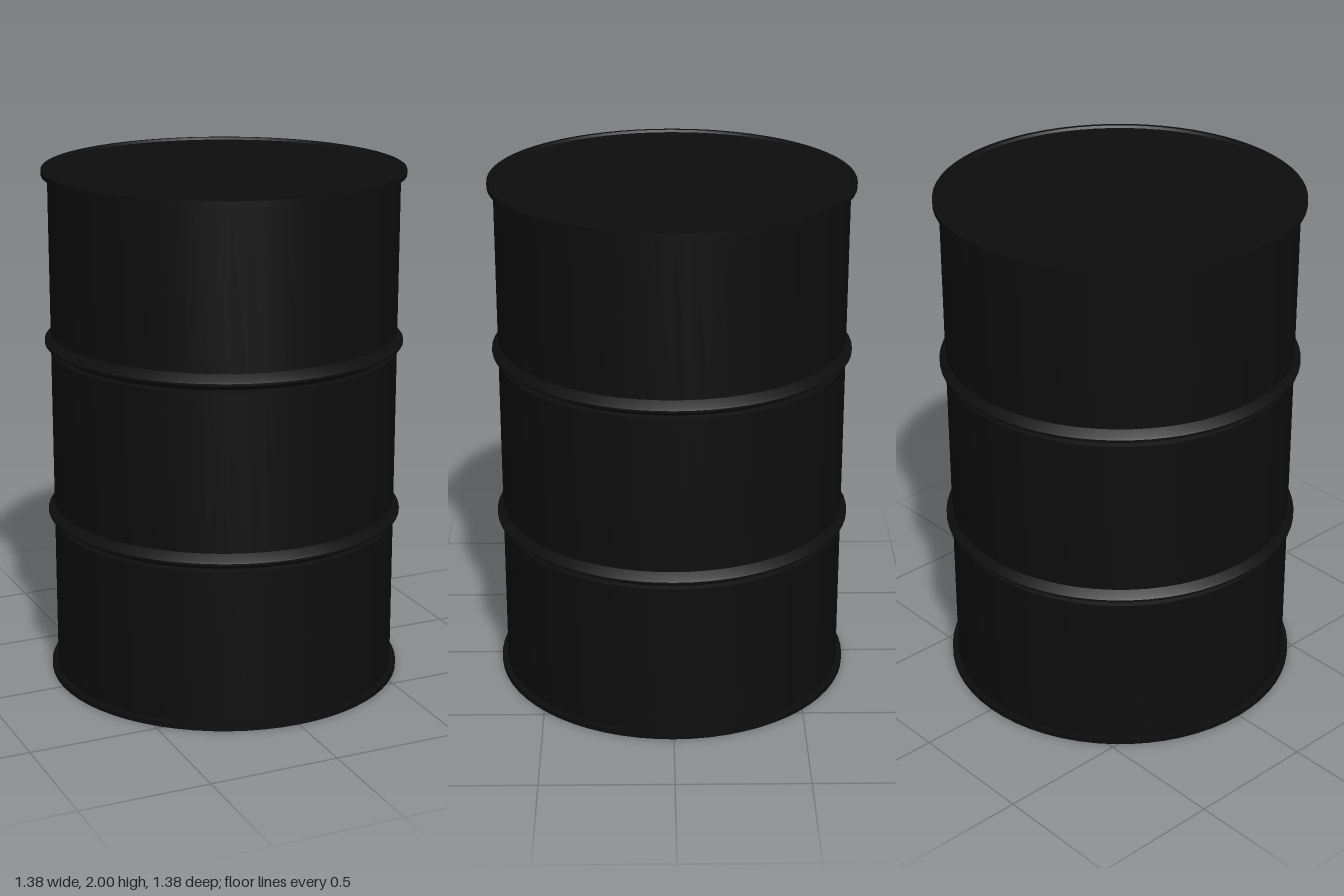
import * as THREE from 'three';
import { toCreasedNormals } from 'three/addons/utils/BufferGeometryUtils.js';

const SEGMENTS = 64;
const BODY_R = 0.665;
const RIM_R = 0.688;
const HEIGHT = 2;

const material = new THREE.MeshStandardMaterial({ color: 0x0d0d0d });

// Turns a profile of [radius, height] pairs around the y axis, keeping hard edges
function turned(name, profile) {
  const points = profile.map(([r, y]) => new THREE.Vector2(r, y));
  const geometry = toCreasedNormals(new THREE.LatheGeometry(points, SEGMENTS), 0.6);
  const mesh = new THREE.Mesh(geometry, material);
  mesh.name = name;
  return mesh;
}

// Rolling hoop: a narrow groove, a rounded ridge, and a second groove
function hoopProfile(y) {
  return [
    [BODY_R, y - 0.036], [0.646, y - 0.03],
    [0.68, y - 0.01], [RIM_R, y - 0.004], [RIM_R, y + 0.004], [0.68, y + 0.01],
    [0.646, y + 0.03], [BODY_R, y + 0.036],
  ];
}

export function createModel() {
  const drum = new THREE.Group();
  drum.name = 'drum';

  // Side wall with two rolling hoops
  drum.add(turned('body', [
    [BODY_R, 0.015],
    ...hoopProfile(0.66),
    ...hoopProfile(1.34),
    [BODY_R, HEIGHT - 0.015],
  ]));

  // Flat ends, each with a protruding rim and a slightly sunken panel
  for (const [name, flipped] of [['topLid', false], ['bottomLid', true]]) {
    const lid = turned(name, [
      [BODY_R - 0.01, -0.02], [RIM_R, -0.02], [RIM_R, 0],
      [0.672, 0], [0.664, -0.008], [0, -0.008],
    ]);
    lid.position.y = flipped ? 0 : HEIGHT;
    if (flipped) lid.rotation.x = Math.PI;
    drum.add(lid);
  }

  return drum;
}
